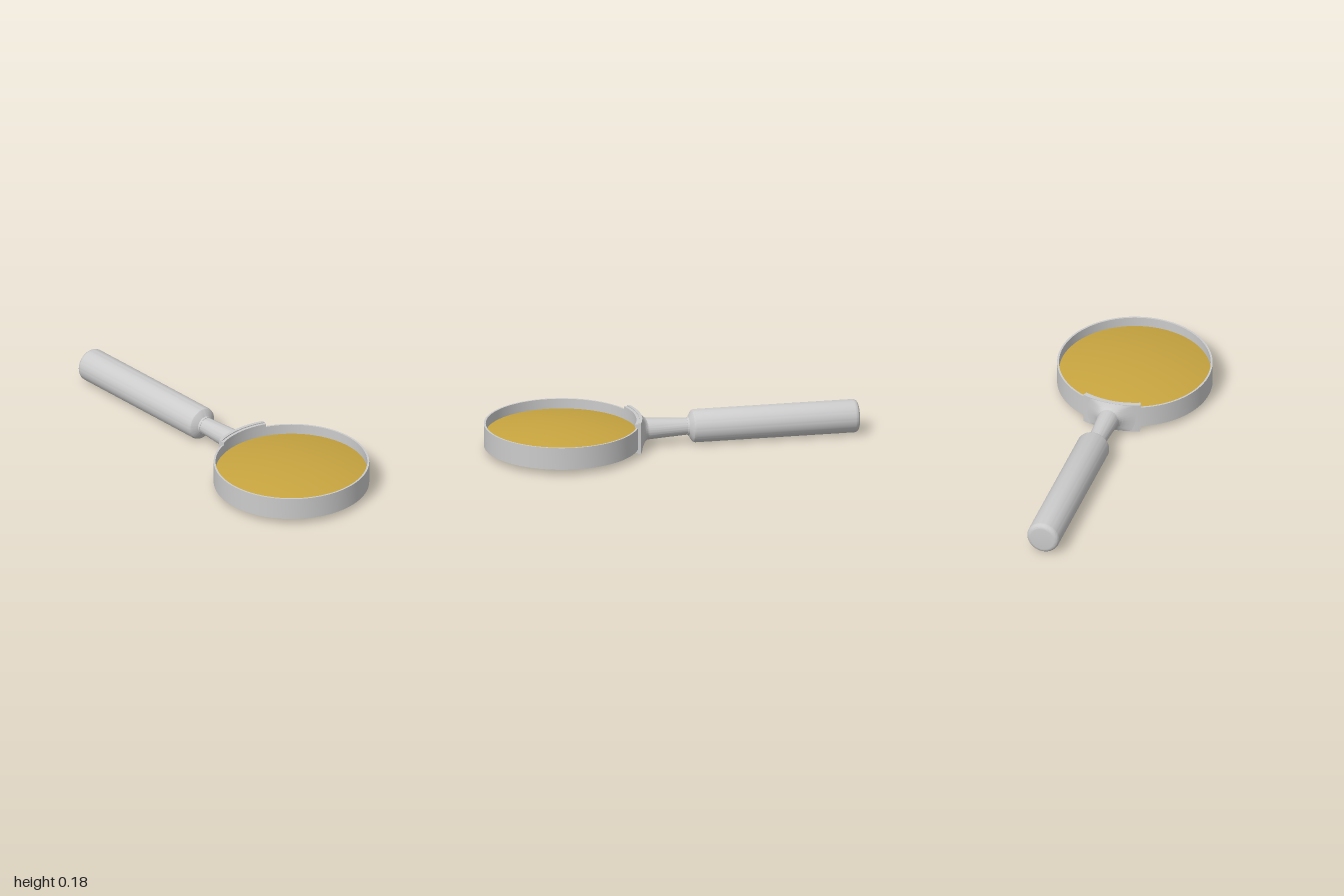
import * as THREE from 'three';
import { toCreasedNormals } from 'three/addons/utils/BufferGeometryUtils.js';

const AXIS_Y = 0.09; // mid height of lens, neck and handle
const RING_Z = 0.59; // centre of the ring
const metal = new THREE.MeshStandardMaterial({ color: 0xcccccc });
const glass = new THREE.MeshStandardMaterial({ color: 0xc8a540 });

function part(name, geometry, material = metal) {
  const mesh = new THREE.Mesh(toCreasedNormals(geometry, 0.5), material);
  mesh.name = name;
  return mesh;
}

function lathe(points, segments) {
  return new THREE.LatheGeometry(points.map(([r, y]) => new THREE.Vector2(r, y)), segments);
}

// Curved slab hugging the back of the ring, between two radii and two heights
function arcSlab(r0, r1, y0, y1, half) {
  const shape = new THREE.Shape();
  shape.absarc(0, 0, r1, Math.PI / 2 - half, Math.PI / 2 + half, false);
  shape.absarc(0, 0, r0, Math.PI / 2 + half, Math.PI / 2 - half, true);
  const g = new THREE.ExtrudeGeometry(shape, { depth: y1 - y0, bevelEnabled: false, curveSegments: 24 });
  return g.rotateX(-Math.PI / 2).translate(0, y0, RING_Z);
}

// Flare from the curved rectangular plate down to the round neck
function flareGeometry() {
  const N = 64, S = 12, R = 0.424;
  const pos = [], index = [];
  for (let j = 0; j <= S; j++) {
    const s = j / S, k = Math.pow(1 - s, 1.7);
    for (let i = 0; i < N; i++) {
      const t = (i / N) * Math.PI * 2, c = Math.cos(t), n = Math.sin(t);
      const m = Math.max(Math.abs(c), Math.abs(n));
      const px = (0.156 * c) / m, py = (0.085 * n) / m;
      const pz = RING_Z - Math.sqrt(R * R - px * px);
      pos.push(
        THREE.MathUtils.lerp(0.058 * c, px, k),
        AXIS_Y + THREE.MathUtils.lerp(0.055 * n, py, k),
        THREE.MathUtils.lerp(pz, 0.13, s)
      );
      if (j < S) {
        const a = j * N + i, b = j * N + ((i + 1) % N);
        index.push(a, a + N, b, b, a + N, b + N);
      }
    }
  }
  const g = new THREE.BufferGeometry();
  g.setAttribute('position', new THREE.Float32BufferAttribute(pos, 3));
  g.setIndex(index);
  return g;
}

export function createModel() {
  const model = new THREE.Group();
  model.name = 'magnifyingGlass';

  // Thin hoop around the lens
  const ring = lathe([[0.4, 0.03], [0.41, 0.03], [0.41, 0.15], [0.4, 0.15], [0.4, 0.03]], 128);
  model.add(part('ring', ring.translate(0, 0, RING_Z)));

  // Biconvex lens
  const profile = [], steps = 14, edge = 0.006, bulge = 0.04;
  for (let i = 0; i <= steps; i++) {
    const r = (0.402 * i) / steps;
    profile.push([r, -edge - bulge * (1 - (i / steps) ** 2)]);
  }
  for (const [r, y] of profile.slice().reverse()) profile.push([r, -y]);
  model.add(part('lens', lathe(profile, 96).translate(0, AXIS_Y, RING_Z), glass));

  // Bracket: plate behind the ring, lips over and under its rim, flare to the neck
  const bracket = new THREE.Group();
  bracket.name = 'bracket';
  bracket.add(part('bracketPlate', arcSlab(0.409, 0.425, 0.005, 0.175, 0.377)));
  bracket.add(part('upperLip', arcSlab(0.394, 0.412, 0.15, 0.17, 0.39)));
  bracket.add(part('lowerLip', arcSlab(0.394, 0.412, 0.01, 0.03, 0.39)));
  bracket.add(part('bracketFlare', flareGeometry()));
  model.add(bracket);

  // Tapered neck and round handle, turned about the long axis
  const turned = (name, points) =>
    model.add(part(name, lathe(points, 64).rotateX(-Math.PI / 2).translate(0, AXIS_Y, 0)));
  turned('neck', [[0, -0.16], [0.058, -0.14], [0.053, -0.06], [0.045, 0.08], [0.045, 0.11], [0, 0.11]]);

  const handle = [[0, 0.08], [0.047, 0.08], [0.05, 0.09], [0.076, 0.104], [0.084, 0.111], [0.088, 0.122]];
  for (let i = 0; i <= 6; i++) {
    const a = (i / 6) * Math.PI / 2;
    handle.push([0.063 + 0.025 * Math.cos(a), 0.975 + 0.025 * Math.sin(a)]);
  }
  handle.push([0, 1]);
  turned('handle', handle);

  return model;
}
